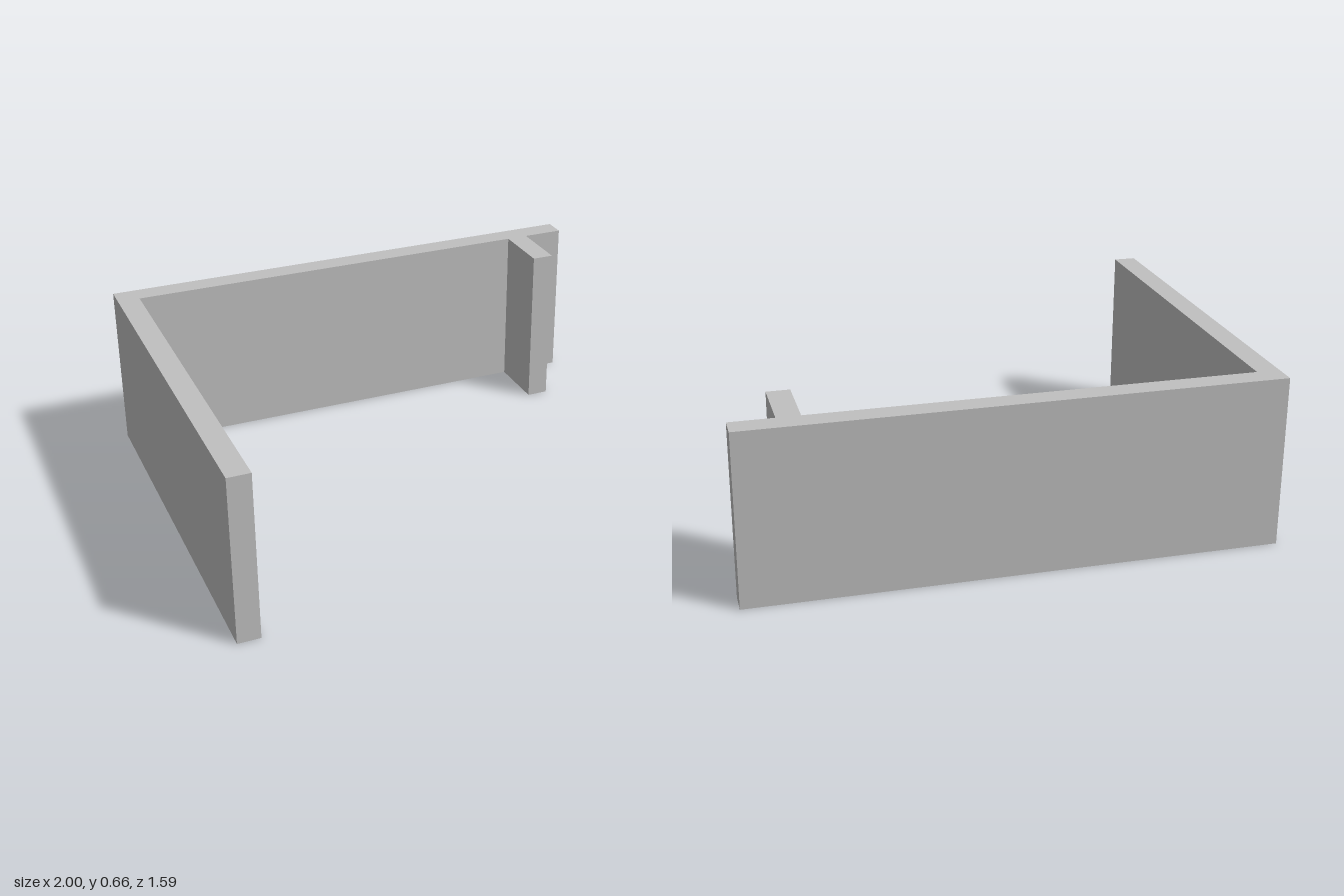
import * as THREE from 'three';

export function createModel() {
  const model = new THREE.Group();
  model.name = 'wallSection';

  const plaster = new THREE.MeshStandardMaterial({ color: 0xc0c0c0 });
  plaster.name = 'light grey';

  const height = 0.66;
  const left = -1, right = 1, back = -0.795, front = 0.795;
  const thick = 0.088;
  const inner = back + thick;
  const stubLeft = 0.748, stubRight = 0.835, stubFront = -0.458;

  // Floor plan as [x, z]: long back wall, side wall and short stub wall
  const plan = [
    [left, front], [left + thick, front], [left + thick, inner],
    [stubLeft, inner], [stubLeft, stubFront], [stubRight, stubFront],
    [stubRight, inner], [right, inner], [right, back], [left, back],
  ];
  const shape = new THREE.Shape(plan.map(([x, z]) => new THREE.Vector2(x, -z)));

  // Raise the plan to wall height
  const geometry = new THREE.ExtrudeGeometry(shape, { depth: height, bevelEnabled: false });
  geometry.rotateX(-Math.PI / 2);

  const walls = new THREE.Mesh(geometry, plaster);
  walls.name = 'walls';
  model.add(walls);
  return model;
}
